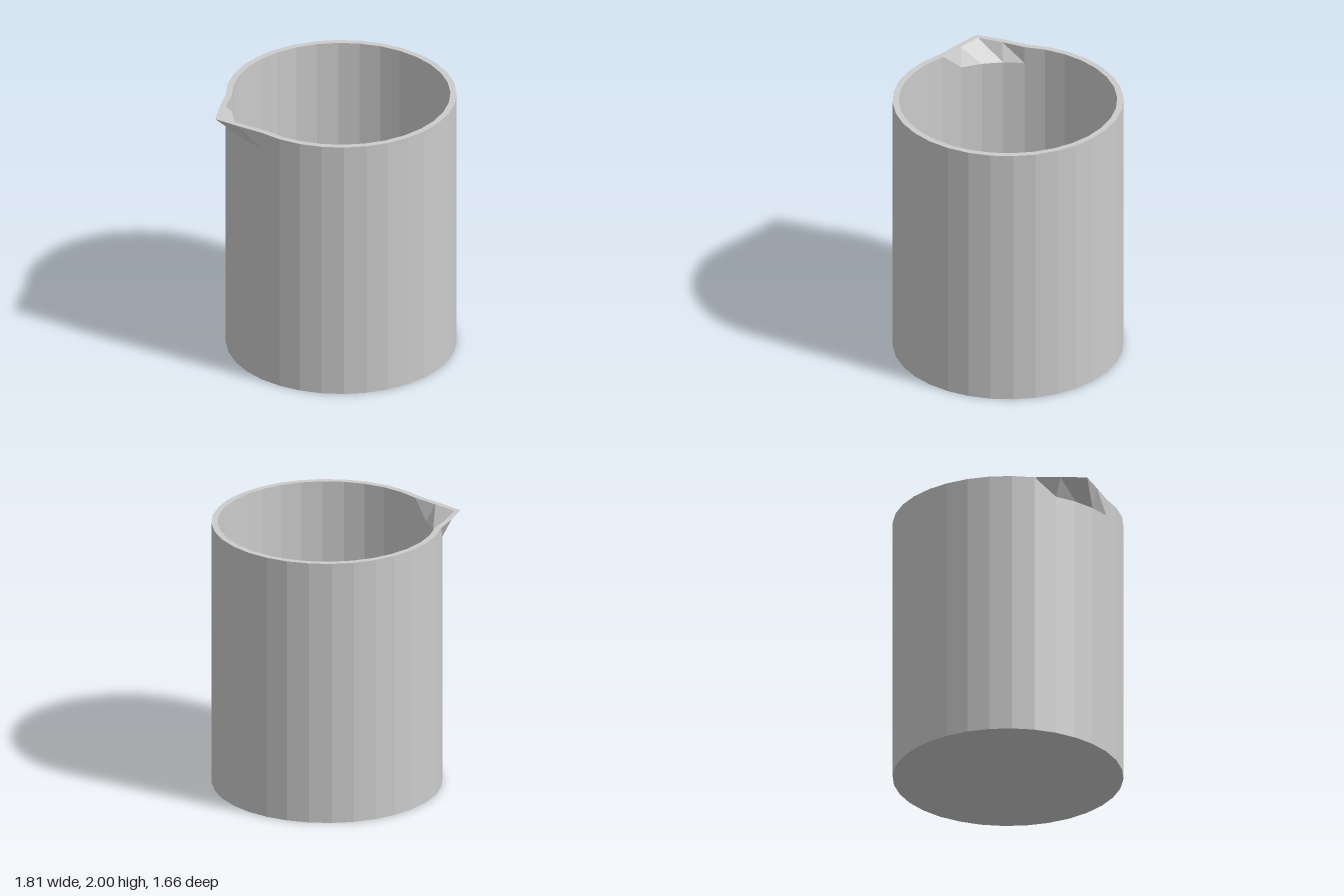
import * as THREE from 'three';

const SIDES = 32;
const OUTER = 0.83, INNER = 0.785;
const HEIGHT = 2, SPOUT_BASE = 1.87, FLOOR = 0.05;
const CENTRE_X = 0.076;

// Pull the rim outwards towards -x to form the pouring lip
function pullSpout(geometry) {
  const pos = geometry.attributes.position;
  const step = (Math.PI * 2) / SIDES;
  for (let i = 0; i < pos.count; i++) {
    if (pos.getY(i) < HEIGHT - 0.001) continue;
    const away = Math.abs(Math.atan2(pos.getZ(i), -pos.getX(i))) / step;
    const pull = [0.155, 0.066][Math.round(away)] ?? 0;
    if (!pull) continue;
    pos.setX(i, pos.getX(i) - pull);
    pos.setZ(i, pos.getZ(i) - 0.01);
  }
}

export function createModel() {
  const group = new THREE.Group();
  group.name = 'beaker';

  // Closed wall section: underside, outer wall, rim, inner wall, floor
  const profile = [
    [0, 0], [OUTER, 0], [OUTER, SPOUT_BASE], [OUTER, HEIGHT],
    [INNER, HEIGHT], [INNER, SPOUT_BASE], [INNER, FLOOR], [0, FLOOR],
  ].map(([x, y]) => new THREE.Vector2(x, y));

  const lathe = new THREE.LatheGeometry(profile, SIDES);
  pullSpout(lathe);
  const geometry = lathe.toNonIndexed();
  geometry.computeVertexNormals();

  const material = new THREE.MeshStandardMaterial({ color: 0xcccccc, flatShading: true });
  const vessel = new THREE.Mesh(geometry, material);
  vessel.name = 'vesselWithSpout';
  vessel.position.x = CENTRE_X;
  group.add(vessel);
  return group;
}
